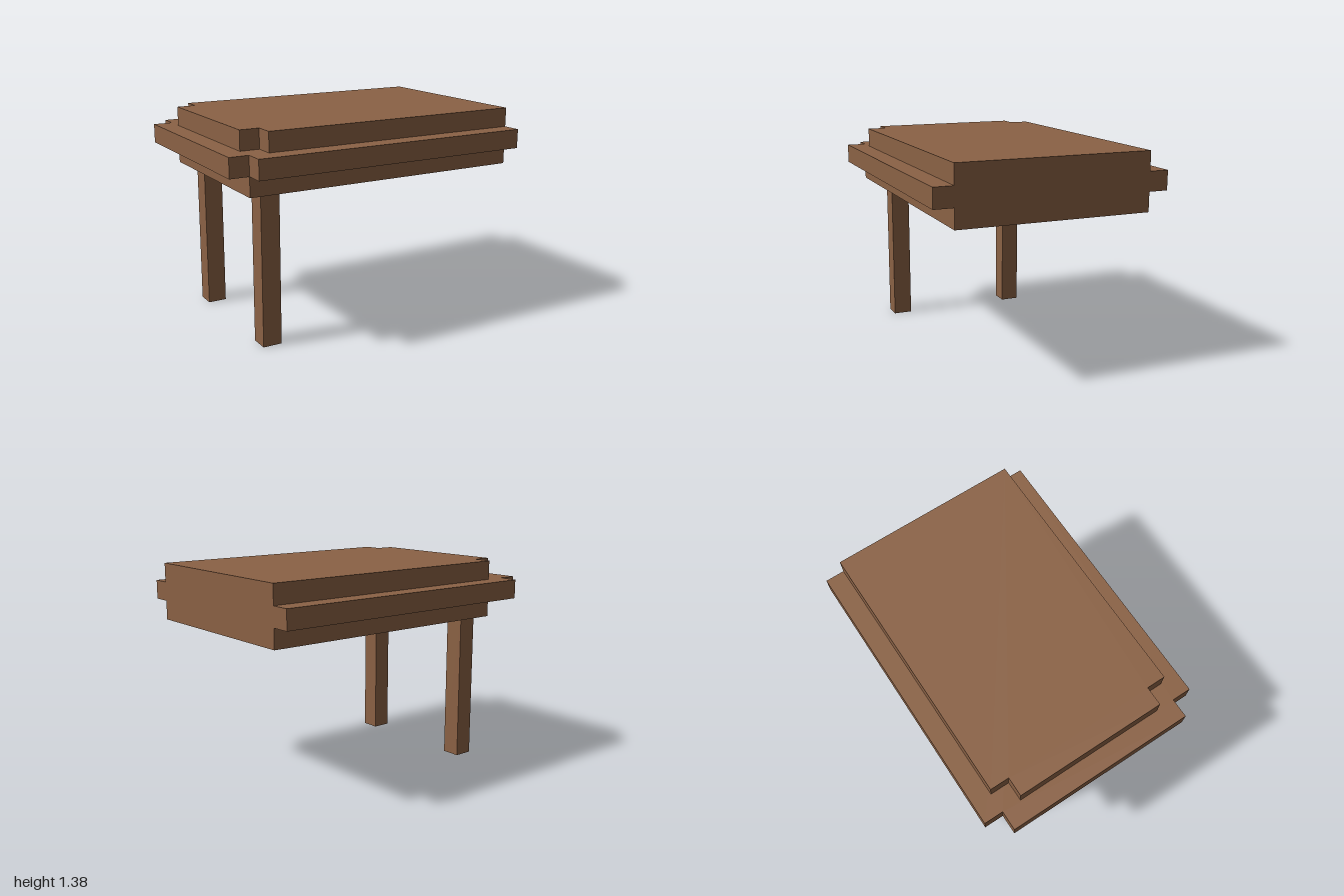
import * as THREE from 'three';

const U = 0.125; // one step of the design

export function createModel() {
  const model = new THREE.Group();
  model.name = 'table';
  const wood = new THREE.MeshStandardMaterial({ color: 0x8b6245 });
  wood.name = 'brown wood';

  // Flat slab with straight +x end; the -x corners may be stepped in by one unit.
  function slab(name, y, endX, halfZ, notchFront, notchBack) {
    const pts = [[1, halfZ], [1, -halfZ]]; // [x, z]
    if (notchBack) pts.push([endX + U, -halfZ], [endX + U, U - halfZ], [endX, U - halfZ]);
    else pts.push([endX, -halfZ]);
    if (notchFront) pts.push([endX, halfZ - U], [endX + U, halfZ - U], [endX + U, halfZ]);
    else pts.push([endX, halfZ]);
    const shape = new THREE.Shape(pts.map(([x, z]) => new THREE.Vector2(x, -z)));
    const geometry = new THREE.ExtrudeGeometry(shape, { depth: U, bevelEnabled: false });
    geometry.rotateX(-Math.PI / 2);
    const mesh = new THREE.Mesh(geometry, wood);
    mesh.name = name;
    mesh.position.y = y;
    model.add(mesh);
  }

  // Three layers of the table top
  slab('lowerLayer', 1, -0.875, 0.625, false, true);
  slab('middleLayer', 1 + U, -1, 0.75, true, true);
  slab('upperLayer', 1 + 2 * U, -0.875, 0.625, true, true);

  // Two legs at the stepped end
  for (const [name, side] of [['frontLeg', 1], ['backLeg', -1]]) {
    const leg = new THREE.Mesh(new THREE.BoxGeometry(U, 1, U), wood);
    leg.name = name;
    leg.position.set(-0.6875, 0.5, side * 0.4375);
    model.add(leg);
  }
  return model;
}
